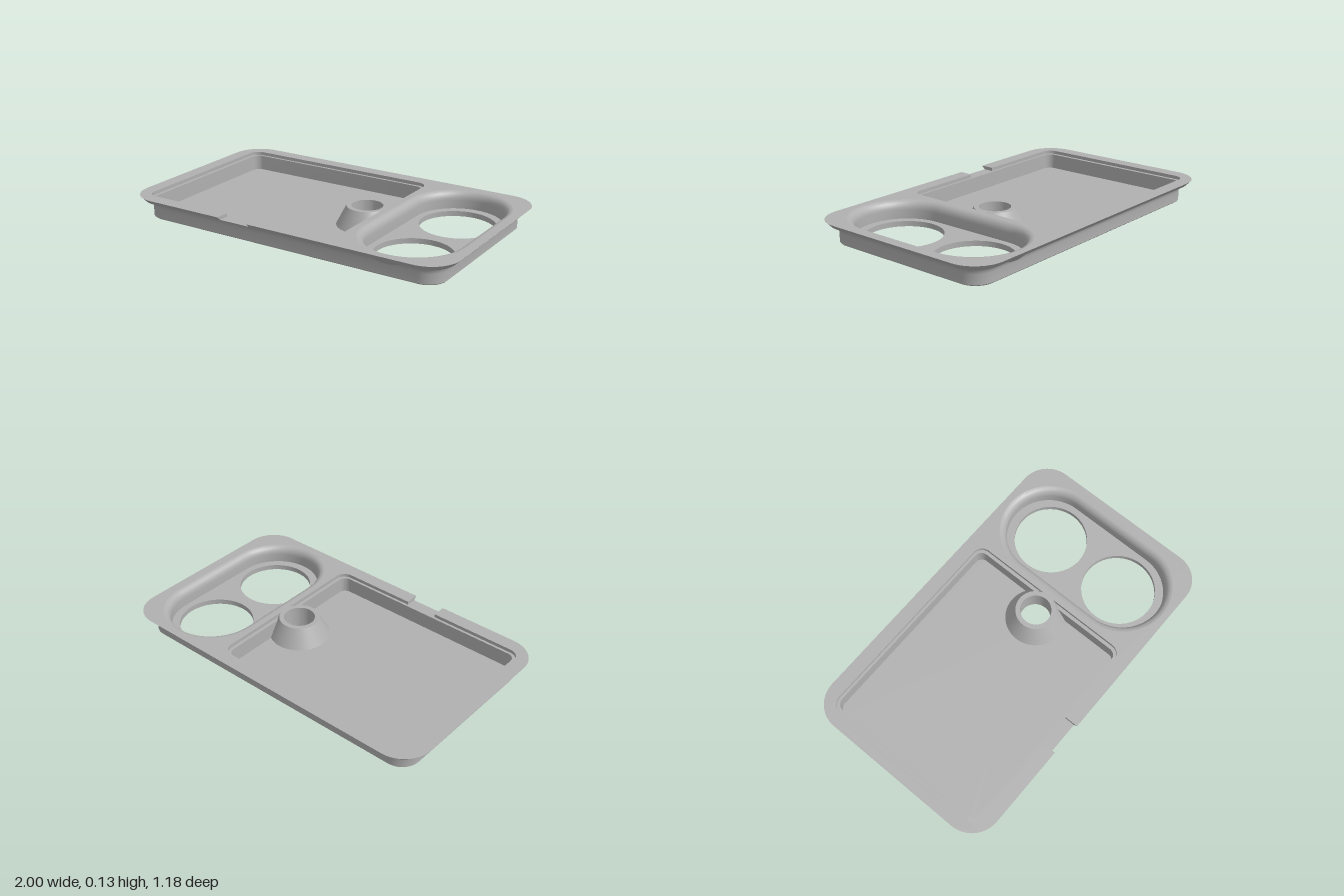
import * as THREE from 'three';
import { toCreasedNormals } from 'three/addons/utils/BufferGeometryUtils.js';

const TOP = 0.13, LEDGE = 0.11, FLOOR = 0.02, CUP_FLOOR = 0.03;
const NOTCH = [-0.35, -0.16];
const CUP = { x: 0.655, z: 0.25, r: 0.213 };
const BOSS = { x: 0.22, z: -0.01, r: 0.088 };

// rounded rectangle outline, running from the front edge at xs round to the front edge at xe
function outline(cx, hx, hz, r, xs = cx, xe = cx) {
  const pts = [[xs, hz]];
  const corners = [[1, 1], [1, -1], [-1, -1], [-1, 1]];
  corners.forEach(([sx, sz], c) => {
    for (let i = 0; i <= 16; i++) {
      const a = Math.PI / 2 * (1 - c - i / 16);
      pts.push([cx + sx * (hx - r) + r * Math.cos(a), sz * (hz - r) + r * Math.sin(a)]);
    }
  });
  if (xe !== xs) pts.push([xe, hz]);
  return pts;
}

const stadium = (r) => outline(CUP.x, r, 0.26 + r, r);

function circle(x, z, r) {
  const pts = [];
  for (let i = 0; i < 64; i++) {
    const a = i / 64 * Math.PI * 2;
    pts.push([x + r * Math.cos(a), z + r * Math.sin(a)]);
  }
  return pts;
}

// skin through closed outlines given as [y, points]
function loft(rings) {
  const pos = [], idx = [], n = rings[0][1].length;
  rings.forEach(([y, pts]) => pts.forEach(([x, z]) => pos.push(x, y, z)));
  for (let k = 0; k < rings.length - 1; k++) {
    for (let i = 0; i < n; i++) {
      const a = k * n + i, b = k * n + (i + 1) % n;
      idx.push(a, b, a + n, b, b + n, a + n);
    }
  }
  const g = new THREE.BufferGeometry();
  g.setAttribute('position', new THREE.Float32BufferAttribute(pos, 3));
  g.setIndex(idx);
  return toCreasedNormals(g, 0.6);
}

// flat horizontal sheet with holes
function sheet(y, pts, holes = []) {
  const vec = (list) => list.map(([x, z]) => new THREE.Vector2(x, z));
  const shape = new THREE.Shape(vec(pts));
  holes.forEach((h) => shape.holes.push(new THREE.Path(vec(h))));
  return new THREE.ShapeGeometry(shape).rotateX(Math.PI / 2).translate(0, y, 0);
}

export function createModel() {
  const group = new THREE.Group();
  const gray = new THREE.MeshStandardMaterial({ color: 0xb0b0b0, side: THREE.DoubleSide });
  gray.name = 'gray';
  const add = (name, geometry) => {
    const mesh = new THREE.Mesh(geometry, gray);
    mesh.name = name;
    group.add(mesh);
    return mesh;
  };

  const cupHoles = [-1, 1].map((s) => circle(CUP.x, s * CUP.z, CUP.r));
  const bossHole = circle(BOSS.x, BOSS.z, BOSS.r);

  // outer side wall with a fillet below the flange, then the chamfered flange
  const sides = [[0, 0.924], [0.006, 0.93], [0.06, 0.93], [0.075, 0.933], [0.087, 0.94], [0.095, 0.95], [0.1, 0.963]];
  add('outerWall', loft([
    ...sides.map(([y, h]) => [y, outline(0, h, h - 0.41, h - 0.82)]),
    [0.1, outline(0, 0.97, 0.56, 0.14)],
    [LEDGE, outline(0, 0.98, 0.57, 0.15)],
  ]));
  add('bottom', sheet(0, outline(0, 0.924, 0.514, 0.104), [...cupHoles, bossHole]));

  // upper rim, open at the front notch
  const rim = (h) => [
    ...outline(0, h, h - 0.41, h - 0.83, NOTCH[1], NOTCH[0]),
    ...outline(-0.295, 0.625, 0.51, 0.06, NOTCH[1], NOTCH[0]).reverse(),
  ];
  add('rimSides', loft([[LEDGE, rim(0.98)], [TOP, rim(1)]]));
  add('rimTop', sheet(TOP, rim(1), [stadium(0.292)]));

  // pocket with its ledge, wall and floor
  const pocket = outline(-0.295, 0.605, 0.495, 0.045);
  add('ledge', sheet(LEDGE, outline(0, 0.98, 0.57, 0.15), [pocket, stadium(0.292)]));
  add('pocketWall', loft([[FLOOR, pocket], [LEDGE, pocket]]));
  add('pocketFloor', sheet(FLOOR, outline(-0.285, 0.625, 0.5, 0.045), [bossHole]));

  // hollow conical boss
  const profile = [[0.172, FLOOR], [0.115, TOP], [BOSS.r, TOP], [BOSS.r, 0]].map(([x, y]) => new THREE.Vector2(x, y));
  add('coneBoss', toCreasedNormals(new THREE.LatheGeometry(profile, 64), 0.6)).position.set(BOSS.x, 0, BOSS.z);

  // recess with a rounded lip
  const lip = [[CUP_FLOOR, 0.252], [0.08, 0.252]];
  for (let i = 1; i <= 6; i++) {
    const a = i / 6 * Math.PI / 2;
    lip.push([0.08 + 0.05 * Math.sin(a), 0.292 - 0.04 * Math.cos(a)]);
  }
  add('cupRecess', loft(lip.map(([y, r]) => [y, stadium(r)])));
  add('cupFloor', sheet(CUP_FLOOR, stadium(0.252), cupHoles));

  // underside of the lip where it swells out of the side wall
  const swell = [[0.068, 0.262], [0.078, 0.272], [0.088, 0.284], [0.1, 0.3]];
  add('recessSwell', loft(swell.map(([y, r]) => [y, stadium(r)])));

  // hole edges through the cup floor
  cupHoles.forEach((h, i) => add(i ? 'frontCupHole' : 'backCupHole', loft([[0, h], [CUP_FLOOR, h]])));

  return group;
}
